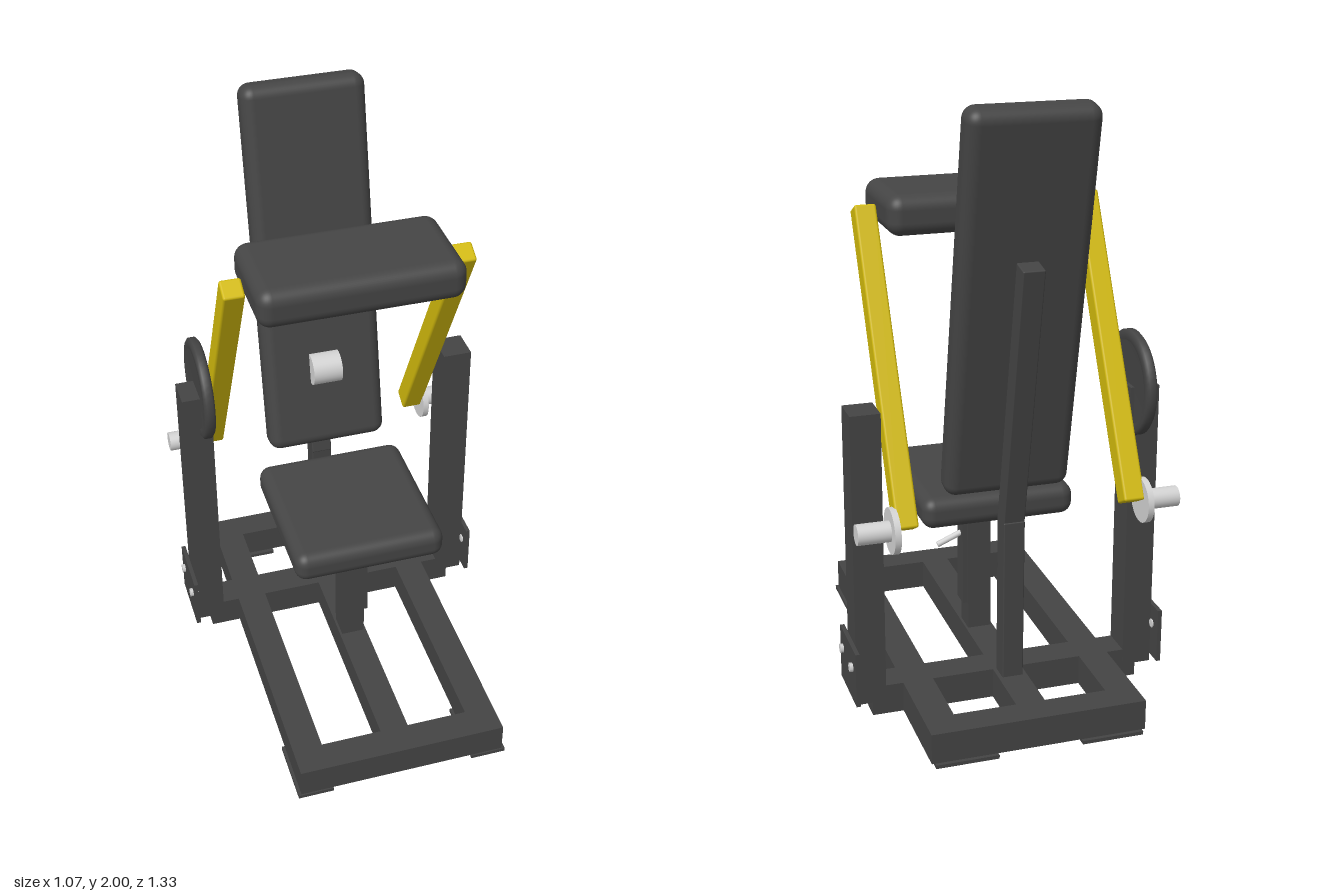
import * as THREE from 'three';
import { RoundedBoxGeometry } from 'three/addons/geometries/RoundedBoxGeometry.js';

export function createModel() {
  const model = new THREE.Group();
  model.name = 'seatedPressMachine';

  const material = (name, color) => {
    const m = new THREE.MeshStandardMaterial({ color });
    m.name = name;
    return m;
  };
  const frame = material('darkFrame', 0x444444);
  const vinyl = material('darkVinyl', 0x454545);
  const yellow = material('yellowPaint', 0xd2ba0c);
  const steel = material('brightSteel', 0xd2d2d2);

  const add = (name, geometry, mat, x, y, z) => {
    const mesh = new THREE.Mesh(geometry, mat);
    mesh.name = name;
    mesh.position.set(x, y, z);
    model.add(mesh);
    return mesh;
  };
  // Box given by its min and max on each axis
  const box = (name, mat, [x0, x1], [y0, y1], [z0, z1]) =>
    add(name, new THREE.BoxGeometry(x1 - x0, y1 - y0, z1 - z0), mat,
      (x0 + x1) / 2, (y0 + y1) / 2, (z0 + z1) / 2);
  // Cylinder lying along x between x0 and x1
  const rod = (name, mat, x0, x1, y, z, r, sides = 32) => {
    const mesh = add(name, new THREE.CylinderGeometry(r, r, Math.abs(x1 - x0), sides), mat, (x0 + x1) / 2, y, z);
    mesh.rotation.z = Math.PI / 2;
    return mesh;
  };
  // Bar whose long side runs between two points in the side plane [y, z]
  const bar = (name, mat, x, [y0, z0], [y1, z1], width, depth, radius) => {
    const length = Math.hypot(y1 - y0, z1 - z0);
    const mesh = add(name, new RoundedBoxGeometry(width, length, depth, 2, radius), mat,
      x, (y0 + y1) / 2, (z0 + z1) / 2);
    mesh.rotation.x = Math.atan2(z1 - z0, y1 - y0);
    return mesh;
  };
  // Padded cushion with soft edges
  const cushion = (name, w, h, d, x, y, z, r = 0.04) =>
    add(name, new RoundedBoxGeometry(w, h, d, 5, r), vinyl, x, y, z);

  // Base frame
  const baseY = [0.012, 0.113];
  box('frontBaseBar', frame, [-0.353, 0.353], baseY, [0.553, 0.655]);
  box('rearBaseBar', frame, [-0.353, 0.353], baseY, [-0.655, -0.555]);
  box('centreBaseBar', frame, [-0.048, 0.048], baseY, [-0.555, 0.553]);
  box('baseCrossbar', frame, [-0.455, 0.455], baseY, [-0.316, -0.21]);

  for (const s of [-1, 1]) {
    const side = s > 0 ? 'left' : 'right';
    const sx = (a, b) => (s > 0 ? [a, b] : [-b, -a]);

    // Base rails and thin feet
    box(side + 'BaseRail', frame, sx(0.253, 0.353), baseY, [-0.555, 0.553]);
    box(side + 'FrontFoot', frame, sx(0.243, 0.363), [0, 0.012], [0.437, 0.66]);
    box(side + 'RearFoot', frame, sx(0.138, 0.342), [0, 0.012], [-0.667, -0.54]);

    // Upright with bolted side plate
    box(side + 'Upright', frame, sx(0.41, 0.508), [0.058, 1.045], [-0.317, -0.208]);
    box(side + 'SidePlate', frame, sx(0.508, 0.522), [0.085, 0.27], [-0.376, -0.157]);
    for (const z of [-0.33, -0.196]) {
      rod(side + 'PlateBolt', steel, s * 0.503, s * 0.533, 0.205, z, 0.015, 6);
    }

    // Swinging arm with weight peg at its lower end
    bar(side + 'Arm', yellow, s * 0.37, [0.71, -0.446], [1.61, 0.029], 0.07, 0.07, 0.008);
    rod(side + 'PegFlange', steel, s * 0.4, s * 0.42, 0.71, -0.442, 0.073);
    rod(side + 'WeightPeg', steel, s * 0.42, s * 0.525, 0.71, -0.442, 0.033);
  }

  // Seat, its post and the height adjuster
  cushion('seat', 0.51, 0.105, 0.53, 0, 0.648, 0.025);
  box('seatPost', frame, [-0.04, 0.04], [0.11, 0.6], [-0.01, 0.074]);
  box('adjusterPlate', frame, [0.04, 0.056], [0.205, 0.555], [0.0, 0.064]);
  const lever = rod('adjusterLever', steel, 0.05, 0.14, 0.44, 0.032, 0.01, 12);
  lever.rotation.z = Math.PI / 2 - 0.4;

  // Bent back post, backrest and roller pad
  bar('lowerBackPost', frame, 0, [0.1, -0.343], [0.66, -0.35], 0.07, 0.07, 0.004);
  bar('upperBackPost', frame, 0, [0.64, -0.345], [1.525, -0.519], 0.07, 0.066, 0.004);
  const backrest = cushion('backrest', 0.41, 1.28, 0.105, 0, 1.37, -0.395);
  backrest.rotation.x = -0.2;
  cushion('pressPad', 0.66, 0.13, 0.345, 0, 1.607, 0.026, 0.045);

  // Pivot drum in front of the backrest
  rod('pivotDrum', steel, -0.05, 0.05, 1.045, -0.268, 0.054);

  // Round disc with a rounded rim and slightly sunken faces
  const profile = [
    [0, -0.012], [0.135, -0.012], [0.14, -0.018], [0.162, -0.018], [0.172, -0.01],
    [0.172, 0.01], [0.162, 0.018], [0.14, 0.018], [0.135, 0.012], [0, 0.012],
  ].map(([r, y]) => new THREE.Vector2(r, y));
  const disc = add('pivotDisc', new THREE.LatheGeometry(profile, 48), frame, -0.435, 1.048, -0.267);
  disc.rotation.z = Math.PI / 2;

  return model;
}
